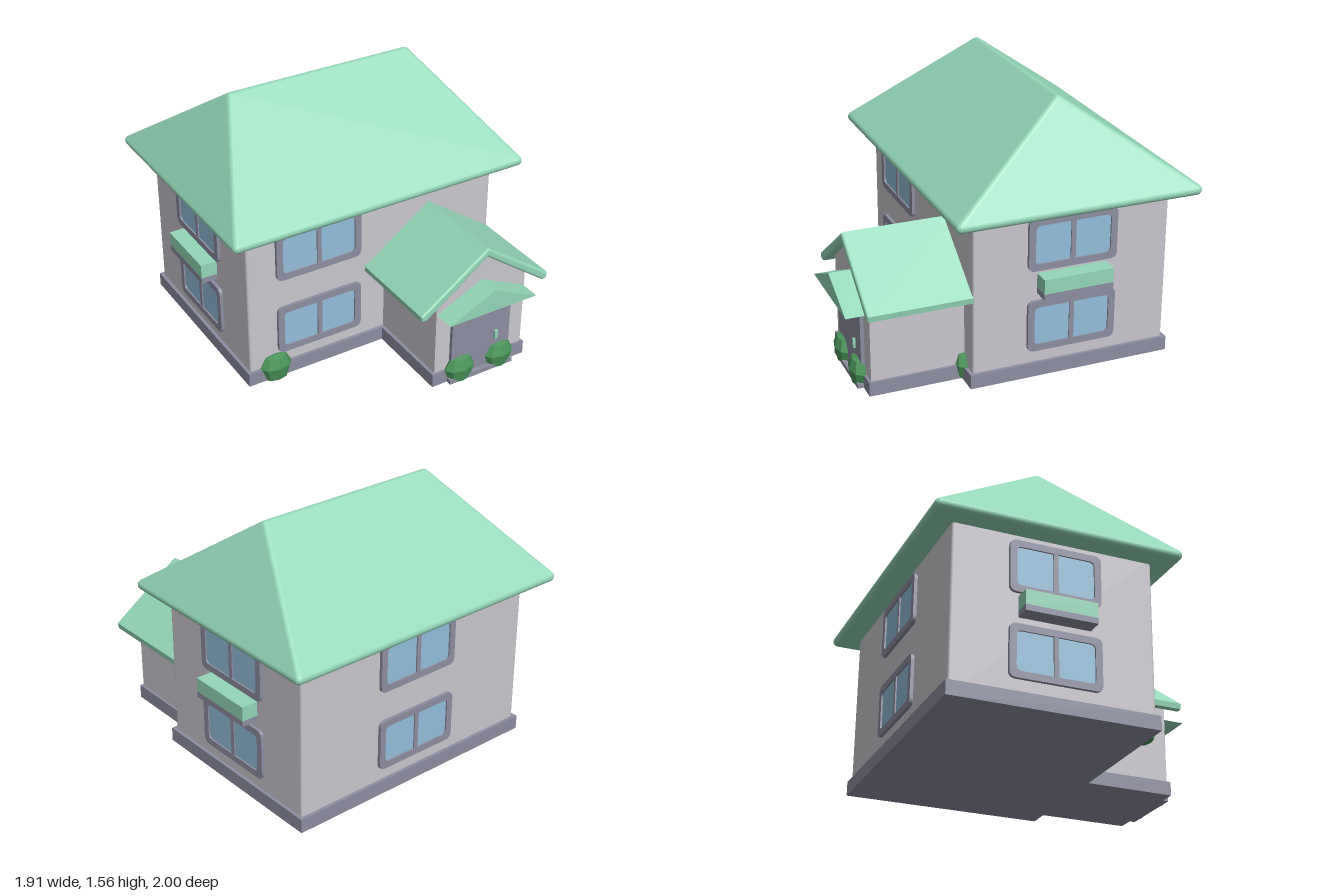
import * as THREE from 'three';
import { RoundedBoxGeometry } from 'three/addons/geometries/RoundedBoxGeometry.js';
import { ConvexGeometry } from 'three/addons/geometries/ConvexGeometry.js';

const material = (name, color, side = THREE.FrontSide) => {
  const m = new THREE.MeshStandardMaterial({ color, side });
  m.name = name;
  return m;
};

// Closed outline of a rounded rectangle centred on the origin
function roundedRect(w, h, r, Type = THREE.Shape) {
  const s = new Type();
  const x = w / 2, y = h / 2;
  s.moveTo(-x + r, -y);
  s.lineTo(x - r, -y).quadraticCurveTo(x, -y, x, -y + r);
  s.lineTo(x, y - r).quadraticCurveTo(x, y, x - r, y);
  s.lineTo(-x + r, y).quadraticCurveTo(-x, y, -x, y - r);
  s.lineTo(-x, -y + r).quadraticCurveTo(-x, -y, -x + r, -y);
  return s;
}

const extrude = (shape, depth, bevel = 0) => new THREE.ExtrudeGeometry(shape, {
  depth, curveSegments: 6, bevelEnabled: bevel > 0,
  bevelSize: bevel, bevelThickness: bevel, bevelSegments: 3,
});

const polygon = (pts) => new THREE.Shape(pts.map(([x, y]) => new THREE.Vector2(x, y)));

export function createModel() {
  const house = new THREE.Group();
  house.name = 'house';

  const green = material('roof green', 0x94d6b8);
  const wall = material('wall grey', 0xc8c6cc);
  const trim = material('trim grey', 0x8c8da0);
  const glass = material('window blue', 0x92bdd8);
  const leaf = material('bush green', 0x4a9459);
  leaf.flatShading = true;

  function add(name, geometry, mat, x = 0, y = 0, z = 0, parent = house) {
    const mesh = new THREE.Mesh(geometry, mat);
    mesh.name = name;
    mesh.position.set(x, y, z);
    parent.add(mesh);
    return mesh;
  }
  const box = (name, mat, [x0, x1], [y0, y1], [z0, z1], parent = house) =>
    add(name, new THREE.BoxGeometry(x1 - x0, y1 - y0, z1 - z0), mat,
      (x0 + x1) / 2, (y0 + y1) / 2, (z0 + z1) / 2, parent);

  // Main block and plinth
  add('mainWalls', new RoundedBoxGeometry(1.64, 1.02, 1.18, 3, 0.015), wall, 0, 0.52, -0.27);
  box('mainPlinth', trim, [-0.84, 0.84], [0, 0.085], [-0.88, 0.34]);

  // Hipped roof: hull around small balls at the eave corners and ridge ends
  const r = 0.03, ball = new THREE.SphereGeometry(r, 16, 12).getAttribute('position');
  const centres = [[0.58, 1.533, -0.27], [-0.58, 1.533, -0.27]];
  for (const x of [-0.925, 0.925]) for (const z of [-0.97, 0.43]) centres.push([x, 1.03, z]);
  const points = [];
  for (const c of centres) {
    for (let i = 0; i < ball.count; i++) {
      points.push(new THREE.Vector3().fromBufferAttribute(ball, i).add(new THREE.Vector3(...c)));
    }
  }
  add('mainRoof', new ConvexGeometry(points), green);

  // Porch walls with gable, plinth and step
  const gable = polygon([[-0.305, 0.02], [0.305, 0.02], [0.305, 0.6], [0, 0.82], [-0.305, 0.6]]);
  add('porchWalls', extrude(gable, 0.6), wall, 0.385, 0, 0.27);
  box('porchPlinth', trim, [0.06, 0.705], [0, 0.085], [0.3, 0.885]);
  box('doorStep', trim, [0.16, 0.6], [0, 0.028], [0.85, 0.92]);

  // Porch roof with softened edges
  const b = 0.014;
  const chevron = polygon([[-0.42, 0.53], [-0.405, 0.528], [0, 0.822], [0.405, 0.528],
    [0.42, 0.53], [0.422, 0.546], [0, 0.845], [-0.422, 0.546]]);
  add('porchRoof', extrude(chevron, 0.62 - 2 * b, b), green, 0.383, 0, 0.3 + b);

  // Solid triangular canopy above the door
  const canopy = polygon([[-0.298, 0.49], [0.298, 0.49], [0, 0.63]]);
  add('doorCanopy', extrude(canopy, 0.14), green, 0.382, 0, 0.86);

  // Door with handle
  const door = new THREE.Group();
  door.name = 'door';
  door.position.set(0.383, 0, 0.86);
  house.add(door);
  add('doorPanel', extrude(roundedRect(0.405, 0.46, 0.03), 0.032), trim, 0, 0.24, 0, door);
  box('doorHandle', green, [0.092, 0.112], [0.2, 0.255], [0.03, 0.046], door);

  // Double-pane window, facing +z before turning
  function addWindow(name, w, x, y, z, turn) {
    const g = new THREE.Group();
    g.name = name;
    g.position.set(x, y, z);
    g.rotation.y = turn;
    house.add(g);
    const h = 0.31;
    const frame = roundedRect(w, h, 0.04);
    frame.holes.push(roundedRect(w - 0.08, h - 0.08, 0.03, THREE.Path));
    add('windowFrame', extrude(frame, 0.025), trim, 0, 0, -0.005, g);
    add('windowGlass', extrude(roundedRect(w - 0.07, h - 0.07, 0.03), 0.009), glass, 0, 0, 0.001, g);
    box('windowMullion', trim, [-0.014, 0.014], [-0.118, 0.118], [0, 0.018], g);
  }
  for (const [level, y] of [['lower', 0.315], ['upper', 0.81]]) {
    addWindow(level + 'FrontWindow', 0.55, -0.365, y, 0.32, 0);
    addWindow(level + 'BackWindow', 0.55, 0, y, -0.86, Math.PI);
    for (const [side, s] of [['Left', 1], ['Right', -1]]) {
      addWindow(level + side + 'Window', 0.535, s * 0.82, y, -0.268, s * Math.PI / 2);
    }
  }

  // Planter boxes between the side windows
  for (const [side, s] of [['left', 1], ['right', -1]]) {
    const xs = s > 0 ? [0.81, 0.92] : [-0.92, -0.81];
    box(side + 'PlanterBox', trim, xs, [0.513, 0.548], [-0.48, -0.06]);
    box(side + 'PlanterGreenery', green, xs, [0.548, 0.635], [-0.48, -0.06]);
  }

  // Faceted bushes, flattened front to back
  const profile = [[0, 0.001], [0.072, 0.001], [0.102, 0.085], [0.068, 0.148], [0, 0.16]]
    .map(([x, y]) => new THREE.Vector2(x, y));
  const bushShape = new THREE.LatheGeometry(profile, 8);
  for (const [x, z] of [[-0.66, 0.33], [0.65, 0.325], [0.245, 0.885], [0.518, 0.885]]) {
    add('bush', bushShape, leaf, x, 0, z).scale.z = 0.58;
  }

  return house;
}
